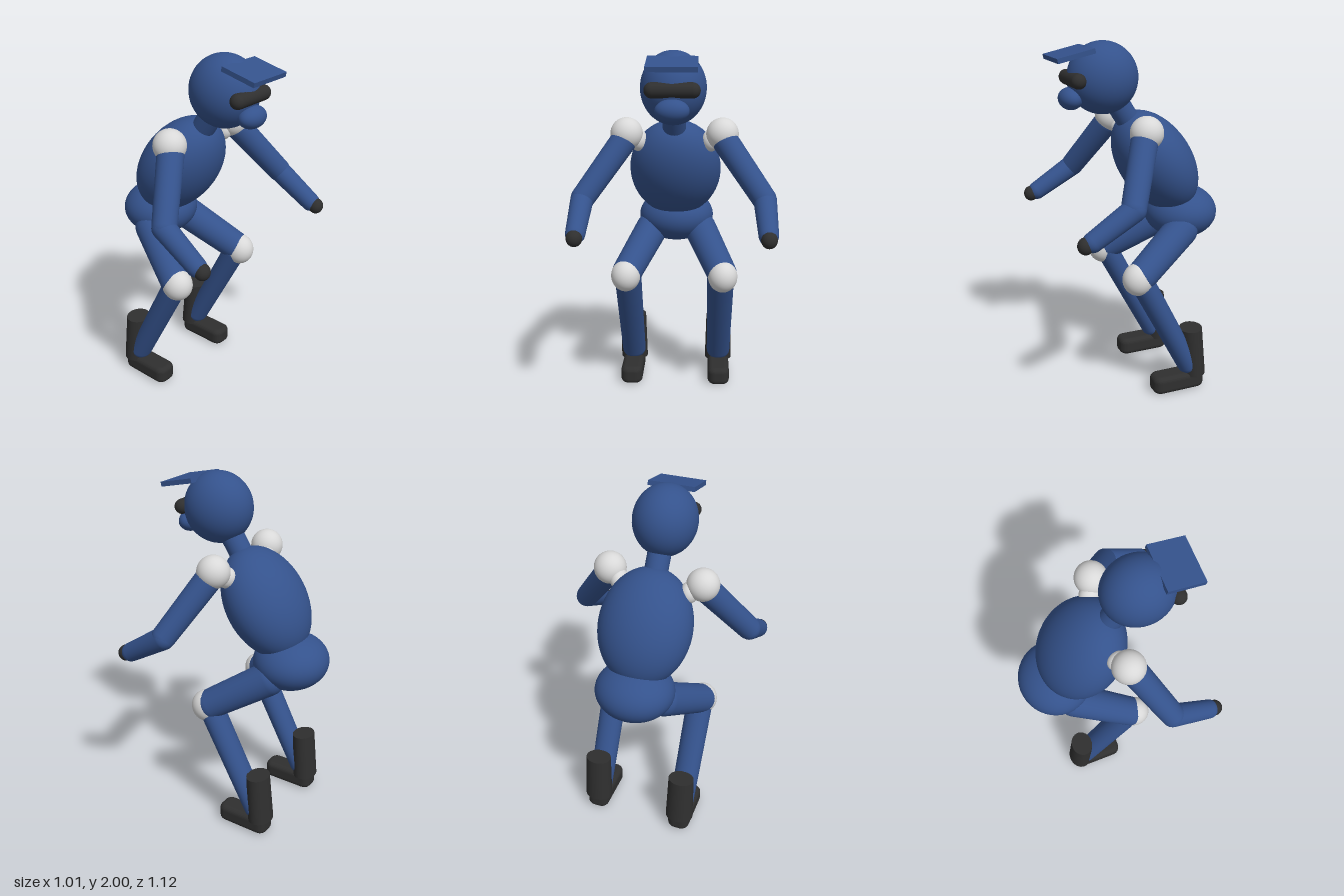
import * as THREE from 'three';

const flat = (name, color) => {
  const m = new THREE.MeshStandardMaterial({ color });
  m.name = name;
  return m;
};

export function createModel() {
  const blue = flat('suit blue', 0x34528c);
  const white = flat('pad white', 0xd8d8d8);
  const dark = flat('boot charcoal', 0x2f2f2f);
  const model = new THREE.Group();
  model.name = 'crouchingFigure';

  const add = (name, geometry, material, parent = model) => {
    const mesh = new THREE.Mesh(geometry, material);
    mesh.name = name;
    parent.add(mesh);
    return mesh;
  };

  // Ellipsoid with a lean about z
  const blob = (name, pos, radii, material, parent, lean = 0) => {
    const mesh = add(name, new THREE.SphereGeometry(1, 40, 28), material, parent);
    mesh.position.set(...pos);
    mesh.scale.set(...radii);
    mesh.rotation.z = lean;
    return mesh;
  };

  // Round-ended tapered limb from a to b; depth squashes it across z
  const limb = (name, a, b, ra, rb, material, parent, depth = 1) => {
    const from = new THREE.Vector3(...a), to = new THREE.Vector3(...b);
    const dir = to.clone().sub(from);
    const length = dir.length();
    const profile = [];
    for (let i = 0; i <= 8; i++) {
      const t = -Math.PI / 2 + (i / 8) * Math.PI / 2;
      profile.push(new THREE.Vector2(Math.max(0, ra * Math.cos(t)), ra * Math.sin(t)));
    }
    for (let i = 0; i <= 8; i++) {
      const t = (i / 8) * Math.PI / 2;
      profile.push(new THREE.Vector2(Math.max(0, rb * Math.cos(t)), length + rb * Math.sin(t)));
    }
    const mesh = add(name, new THREE.LatheGeometry(profile, 32), material, parent);
    mesh.position.copy(from);
    mesh.quaternion.setFromUnitVectors(new THREE.Vector3(0, 1, 0), dir.normalize());
    mesh.scale.z = depth;
    return mesh;
  };

  // Body, leaning towards +x
  blob('torso', [-0.133, 1.32, 0], [0.205, 0.325, 0.262], blue, model, -0.576);
  blob('pelvis', [-0.297, 1.008, 0], [0.21, 0.155, 0.222], blue);
  limb('neck', [0.04, 1.58, 0], [0.11, 1.69, 0], 0.065, 0.065, blue);

  // Head with visor, goggles and muzzle
  const head = new THREE.Group();
  head.name = 'head';
  model.add(head);
  blob('skull', [0.177, 1.805, 0], [0.195, 0.195, 0.176], blue, head);
  blob('muzzle', [0.36, 1.704, 0], [0.064, 0.06, 0.09], blue, head);
  const goggles = add('goggles', new THREE.CapsuleGeometry(0.041, 0.208, 12, 28), dark, head);
  goggles.position.set(0.346, 1.806, 0);
  goggles.rotation.x = Math.PI / 2;
  const visor = add('visor', new THREE.BoxGeometry(0.208, 0.026, 0.262), blue, head);
  visor.position.set(0.362, 1.938, 0);
  visor.rotation.z = -0.22;

  // Foot outline, extruded upwards with rounded edges
  const footShape = new THREE.Shape();
  const fx = 0.128, fz = 0.035, r = 0.02;
  footShape.moveTo(-fx + r, -fz);
  footShape.lineTo(fx - r, -fz);
  footShape.quadraticCurveTo(fx, -fz, fx, -fz + r);
  footShape.lineTo(fx, fz - r);
  footShape.quadraticCurveTo(fx, fz, fx - r, fz);
  footShape.lineTo(-fx + r, fz);
  footShape.quadraticCurveTo(-fx, fz, -fx, fz - r);
  footShape.lineTo(-fx, -fz + r);
  footShape.quadraticCurveTo(-fx, -fz, -fx + r, -fz);
  const footGeometry = new THREE.ExtrudeGeometry(footShape, {
    depth: 0.045, bevelEnabled: true, bevelSize: 0.03, bevelThickness: 0.03, bevelSegments: 6,
  });
  footGeometry.rotateX(-Math.PI / 2);

  // Arms and legs, mirrored across z
  for (const s of [1, -1]) {
    const side = s > 0 ? 'front' : 'back';
    const arm = new THREE.Group();
    arm.name = side + 'Arm';
    const leg = new THREE.Group();
    leg.name = side + 'Leg';
    model.add(arm, leg);

    blob('shoulderPad', [0.032, 1.543, s * 0.265], [0.09, 0.09, 0.09], white, arm);
    blob('shoulderJoint', [0, 1.5, s * 0.2], [0.06, 0.06, 0.05], white, arm);
    limb('upperArm', [0.055, 1.5, s * 0.285], [0.2, 1.215, s * 0.492], 0.073, 0.066, blue, arm);
    limb('forearm', [0.2, 1.21, s * 0.497], [0.425, 1.072, s * 0.503], 0.063, 0.053, blue, arm);
    blob('hand', [0.463, 1.058, s * 0.504], [0.042, 0.045, 0.043], dark, arm);

    limb('thigh', [-0.235, 0.935, s * 0.145], [0.062, 0.748, s * 0.272], 0.096, 0.086, blue, leg);
    blob('kneePad', [0.085, 0.733, s * 0.278], [0.088, 0.092, 0.084], white, leg);
    limb('shin', [0.062, 0.715, s * 0.267], [-0.235, 0.145, s * 0.265], 0.067, 0.062, blue, leg, 1.15);

    // Boot shaft, slightly tilted, with the foot below
    const shaft = add('bootShaft', new THREE.CylinderGeometry(0.064, 0.07, 0.29, 32), dark, leg);
    shaft.position.set(-0.262, 0.228, s * 0.265);
    shaft.rotation.z = -0.07;
    shaft.scale.z = 1.18;
    const foot = add('foot', footGeometry, dark, leg);
    foot.position.set(-0.167, 0.03, s * 0.265);
  }
  return model;
}
